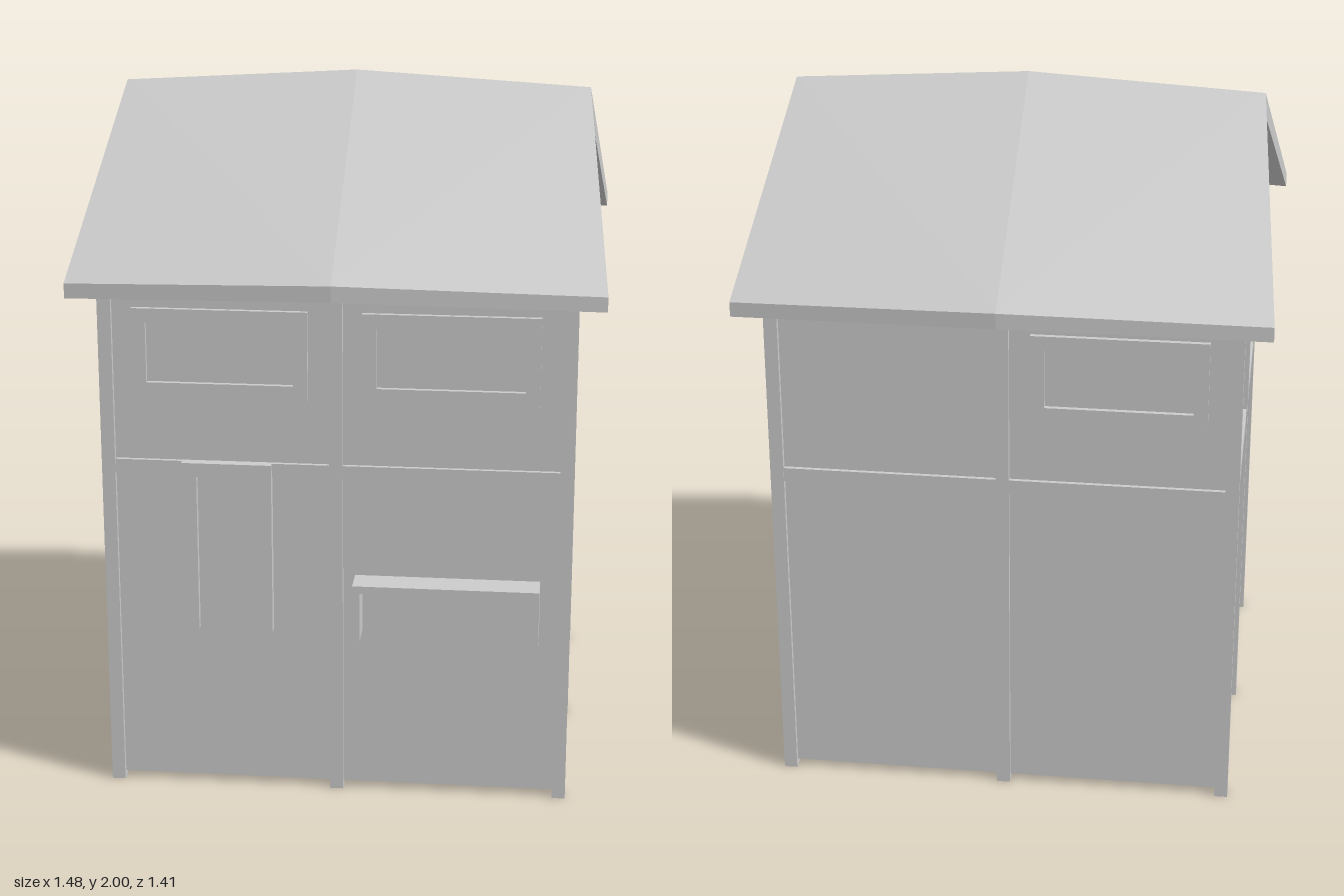
import * as THREE from 'three';

const mat = new THREE.MeshStandardMaterial({ color: 0xcccccc, flatShading: true, side: THREE.DoubleSide });

export function createModel() {
  const house = new THREE.Group();
  house.name = 'timberHouse';

  const add = (name, geo, parent = house) => {
    const m = new THREE.Mesh(geo, mat);
    m.name = name;
    parent.add(m);
    return m;
  };
  // Box given by its minimum and maximum corners
  const box = (name, x0, x1, y0, y1, z0, z1, parent) =>
    add(name, new THREE.BoxGeometry(x1 - x0, y1 - y0, z1 - z0)
      .translate((x0 + x1) / 2, (y0 + y1) / 2, (z0 + z1) / 2), parent);

  const X = 0.642, Z = 0.576, T = 0.019; // post centres and half thickness

  // Thin wall panel, half-width w, with a raised middle
  const wall = (w, side, peak) => {
    const s = new THREE.Shape();
    [[-w, 0.02], [w, 0.02], [w, side], [0, peak], [-w, side]]
      .forEach(([x, y], i) => (i ? s.lineTo(x, y) : s.moveTo(x, y)));
    return new THREE.ExtrudeGeometry(s, { depth: 0.008, bevelEnabled: false }).translate(0, 0, -0.004);
  };
  for (const s of [1, -1]) {
    add(s > 0 ? 'frontWall' : 'backWall', wall(X, 1.5, 1.56)).position.z = s * Z;
    const side = add(s > 0 ? 'leftWall' : 'rightWall', wall(Z, 1.53, 1.92));
    side.rotation.y = Math.PI / 2;
    side.position.x = s * X;
  }

  // Posts at corners and wall middles
  for (const x of [-X, 0, X]) for (const z of [-Z, 0, Z]) {
    if (!x && !z) continue;
    const top = z === 0 ? 1.93 : x === 0 ? 1.56 : 1.51;
    box('post', x - T, x + T, 0, top, z - T, z + T);
  }

  // Horizontal beams
  const b = 0.016;
  for (const s of [1, -1]) {
    box('middleBeam', -X, X, 0.95, 0.99, s * Z - b, s * Z + b);
    box('middleSideBeam', s * X - b, s * X + b, 0.95, 0.99, -Z, Z);
    box('upperSideBeam', s * X - b, s * X + b, 1.51, 1.545, -Z, Z);
  }

  // Windows: two at the front, one at the back
  const windowFrame = (x, z) => {
    const s = new THREE.Shape([[-0.245, -0.127], [0.245, -0.127], [0.245, 0.127], [-0.245, 0.127]]
      .map(p => new THREE.Vector2(...p)));
    s.holes.push(new THREE.Path([[-0.205, -0.085], [-0.205, 0.085], [0.205, 0.085], [0.205, -0.085]]
      .map(p => new THREE.Vector2(...p))));
    const g = new THREE.ExtrudeGeometry(s, { depth: 0.036, bevelEnabled: false }).translate(0, 0, -0.018);
    add('windowFrame', g).position.set(x, 1.303, z);
  };
  windowFrame(-0.323, Z);
  windowFrame(0.318, Z);
  windowFrame(-0.323, -Z);

  // Door with jambs and header
  const door = new THREE.Group();
  door.name = 'door';
  house.add(door);
  box('doorJamb', -0.433, -0.391, 0.49, 0.99, 0.555, 0.61, door);
  box('doorJamb', -0.222, -0.18, 0.49, 0.99, 0.555, 0.61, door);
  box('doorHeader', -0.391, -0.222, 0.95, 0.99, 0.555, 0.61, door);
  box('doorPanel', -0.391, -0.222, 0.495, 0.95, 0.572, 0.588, door);

  // Bracket shelf
  const shelf = new THREE.Group();
  shelf.name = 'shelf';
  house.add(shelf);
  box('shelfTop', 0.053, 0.575, 0.64, 0.662, Z, 0.667, shelf);
  box('shelfSide', 0.053, 0.074, 0.497, 0.64, Z, 0.667, shelf);
  box('shelfSide', 0.554, 0.575, 0.497, 0.64, Z, 0.667, shelf);

  // Roof: three cross-sections, raised and widened in the middle
  const section = (ridgeX, eaveX, ridgeTop, ridgeLow, eaveTop, eaveLow, z) => [
    [ridgeX, ridgeTop, 0], [eaveX, eaveTop, z], [eaveX, eaveLow, z],
    [ridgeX, ridgeLow, 0], [eaveX, eaveLow, -z], [eaveX, eaveTop, -z]];
  const sections = [
    section(-0.675, -0.738, 1.96, 1.9, 1.51, 1.468, 0.65),
    section(0, 0, 2, 1.945, 1.535, 1.49, 0.705),
    section(0.675, 0.738, 1.96, 1.9, 1.51, 1.468, 0.65)];
  const pos = [];
  const tri = (...p) => p.forEach(v => pos.push(...v));
  for (let i = 0; i < 2; i++) for (let j = 0; j < 6; j++) {
    const k = (j + 1) % 6;
    const a = sections[i][j], c = sections[i][k], d = sections[i + 1][k], e = sections[i + 1][j];
    // Diagonals run from the middle eave to the ridge ends
    if ((i === 0) === (j === 0 || j === 3)) { tri(a, c, d); tri(a, d, e); }
    else { tri(a, c, e); tri(c, d, e); }
  }
  const [l, , r] = sections;
  for (const [p, q, u, v] of [[0, 1, 2, 3], [0, 3, 4, 5]]) {
    tri(r[p], r[u], r[q]); tri(r[p], r[v], r[u]);
    tri(l[p], l[q], l[u]); tri(l[p], l[u], l[v]);
  }
  // Keep end caps facing outwards
  const n = pos.length / 9;
  for (let t = n - 8; t < n; t++) {
    const P = [0, 1, 2].map(i => new THREE.Vector3().fromArray(pos, t * 9 + i * 3));
    const nx = P[1].clone().sub(P[0]).cross(P[2].clone().sub(P[0])).x;
    if (nx * P[0].x < 0) { P[2].toArray(pos, t * 9 + 3); P[1].toArray(pos, t * 9 + 6); }
  }
  const roof = new THREE.BufferGeometry();
  roof.setAttribute('position', new THREE.Float32BufferAttribute(pos, 3));
  roof.computeVertexNormals();
  add('roof', roof);

  return house;
}
